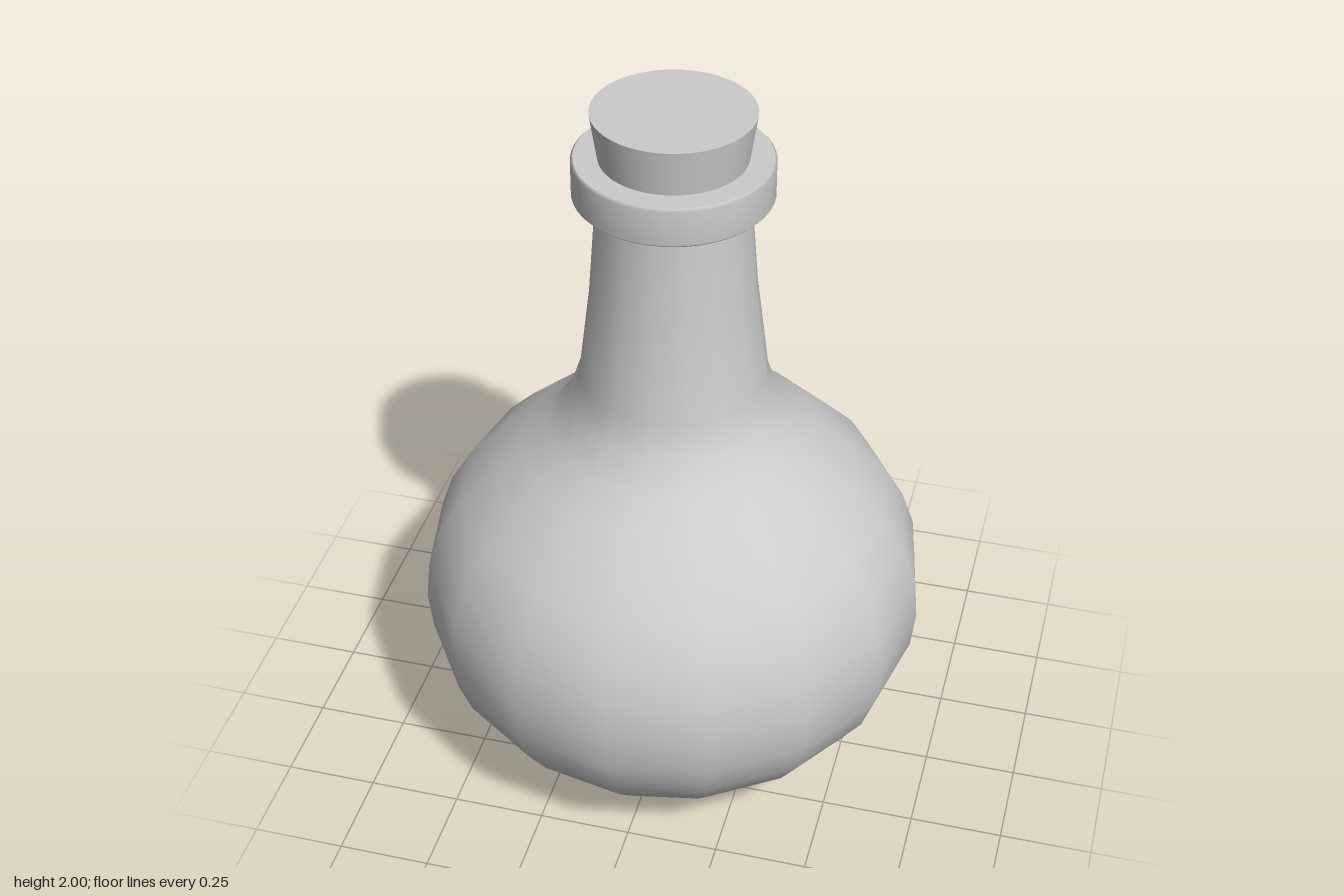
import * as THREE from 'three';

const material = new THREE.MeshStandardMaterial({ color: 0xcccccc });

// Smooth surface of revolution from [radius, height] points
function turned(name, points, sides) {
  const profile = points.map(([r, y]) => new THREE.Vector2(r, y));
  const mesh = new THREE.Mesh(new THREE.LatheGeometry(profile, sides), material);
  mesh.name = name;
  return mesh;
}

// Solid tapered disc
function plug(name, topRadius, bottomRadius, bottom, top, sides) {
  const geometry = new THREE.CylinderGeometry(topRadius, bottomRadius, top - bottom, sides);
  const mesh = new THREE.Mesh(geometry, material);
  mesh.name = name;
  mesh.position.y = (bottom + top) / 2;
  return mesh;
}

export function createModel() {
  const group = new THREE.Group();
  group.name = 'corkedFlask';

  // Low foot under the bulb
  group.add(plug('foot', 0.346, 0.34, 0, 0.045, 16));

  // Round bulb running up into the slender neck
  group.add(turned('bulbAndNeck', [
    [0.33, 0.04], [0.36, 0.05], [0.485, 0.13], [0.575, 0.225], [0.64, 0.32],
    [0.676, 0.42], [0.687, 0.53], [0.676, 0.64], [0.64, 0.745], [0.58, 0.845],
    [0.49, 0.938], [0.41, 1.01], [0.34, 1.07], [0.28, 1.145], [0.25, 1.235],
    [0.217, 1.5], [0.197, 1.76], [0.195, 1.85],
  ], 16));

  // Collar round the mouth: softened outer wall with flat faces above and below
  group.add(turned('collarWall', [
    [0.246, 1.766], [0.255, 1.775], [0.255, 1.868], [0.249, 1.875],
  ], 48));
  group.add(turned('collarTop', [[0.249, 1.875], [0.17, 1.875]], 48));
  group.add(turned('collarUnderside', [[0.17, 1.766], [0.246, 1.766]], 48));

  // Tapered cork
  group.add(plug('cork', 0.207, 0.183, 1.84, 2, 48));

  return group;
}
